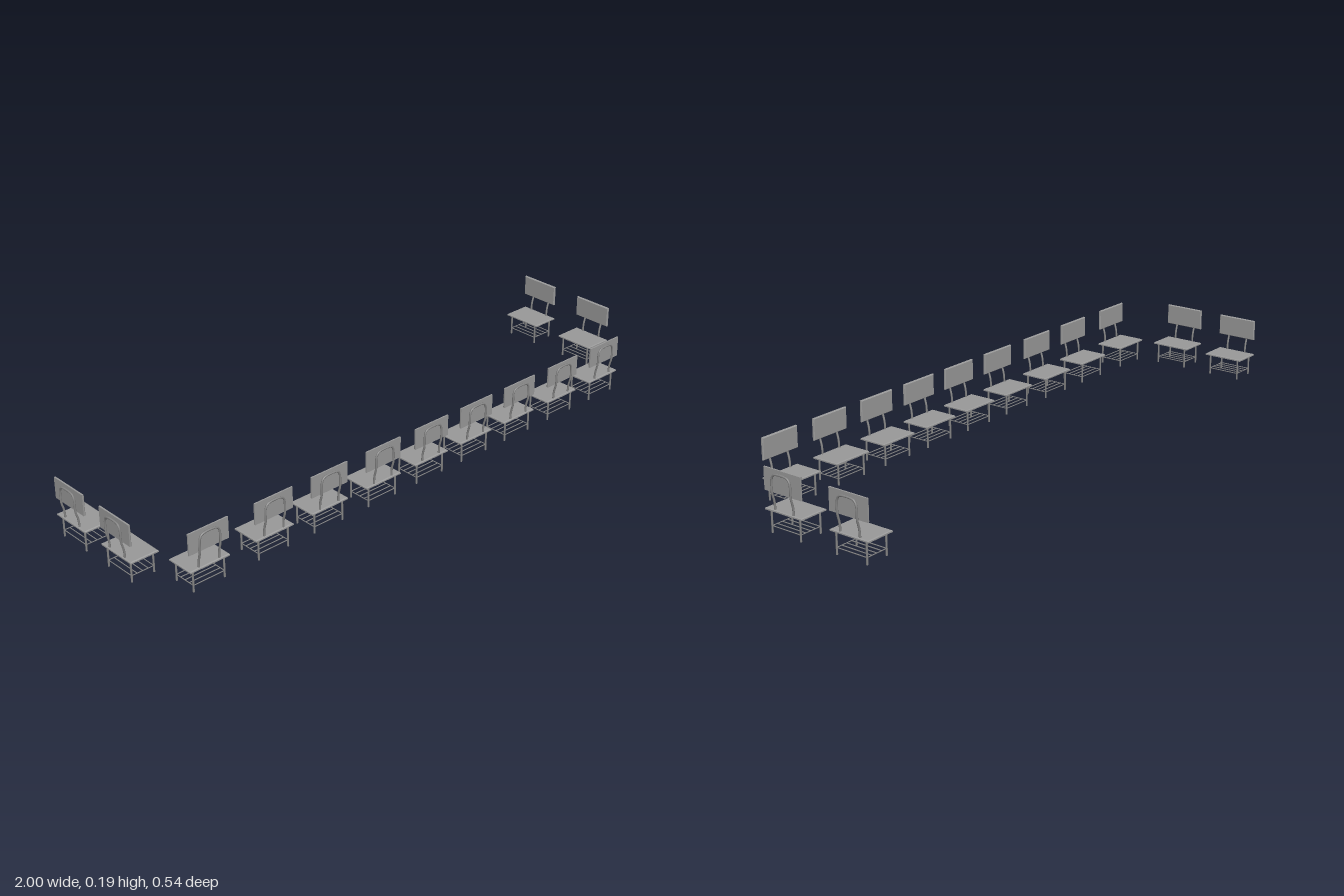
import * as THREE from 'three';

const seatGrey = new THREE.MeshStandardMaterial({ color: 0x999999 });
seatGrey.name = 'seat grey';
const frameGrey = new THREE.MeshStandardMaterial({ color: 0x858585 });
frameGrey.name = 'frame grey';

const WIDTH = 0.135, DEPTH = 0.093;
const LEG_X = 0.053, LEG_Z = 0.037, RACK_Y = 0.02;

// Flat board whose top edge is chamfered all round
function boardGeometry(w, h, d, inset) {
  const lower = h * 0.65;
  const geo = new THREE.BoxGeometry(w, h, d, 1, 2, 1).toNonIndexed();
  const p = geo.attributes.position;
  for (let i = 0; i < p.count; i++) {
    const y = p.getY(i);
    if (Math.abs(y) < 1e-6) p.setY(i, lower - h / 2);
    else if (y > 0) {
      p.setX(i, p.getX(i) - Math.sign(p.getX(i)) * inset);
      p.setZ(i, p.getZ(i) - Math.sign(p.getZ(i)) * inset);
    }
  }
  geo.computeVertexNormals();
  return geo;
}

// Bent tube that forms the backrest support
function archGeometry() {
  const side = [
    [0.0345, 0.068, 0.041], [0.0345, 0.085, 0.0415], [0.0345, 0.1, 0.0435],
    [0.0345, 0.12, 0.049], [0.0345, 0.132, 0.05], [0.0345, 0.153, 0.05],
    [0.0325, 0.165, 0.05], [0.0265, 0.174, 0.05], [0.016, 0.1775, 0.05],
  ];
  const points = side.map(([x, y, z]) => new THREE.Vector3(x, y, z));
  for (const [x, y, z] of side.slice().reverse()) points.push(new THREE.Vector3(-x, y, z));
  return new THREE.TubeGeometry(new THREE.CatmullRomCurve3(points, false, 'centripetal'), 60, 0.0032, 8);
}

const seatGeo = boardGeometry(WIDTH, 0.006, DEPTH, 0.003);
const backGeo = boardGeometry(WIDTH, 0.007, 0.067, 0.002);
const archGeo = archGeometry();
const legGeo = new THREE.CylinderGeometry(0.003, 0.003, 0.068, 8);
const crossRodGeo = new THREE.CylinderGeometry(0.0015, 0.0015, LEG_X * 2, 6).rotateZ(Math.PI / 2);
const sideRodGeo = new THREE.CylinderGeometry(0.0015, 0.0015, LEG_Z * 2, 6).rotateX(Math.PI / 2);

function add(group, name, geo, mat, x, y, z) {
  const mesh = new THREE.Mesh(geo, mat);
  mesh.name = name;
  mesh.position.set(x, y, z);
  group.add(mesh);
  return mesh;
}

// One chair, with its back towards +z
function makeChair() {
  const chair = new THREE.Group();
  chair.name = 'chair';
  add(chair, 'seat', seatGeo, seatGrey, 0, 0.0695, 0);
  add(chair, 'backrest', backGeo, seatGrey, 0, 0.1555, 0.0415).rotation.x = -Math.PI / 2;
  add(chair, 'backSupport', archGeo, frameGrey, 0, 0, 0);
  for (const sx of [-1, 1]) {
    for (const sz of [-1, 1]) add(chair, 'leg', legGeo, frameGrey, sx * LEG_X, 0.034, sz * LEG_Z);
    add(chair, 'sideRail', sideRodGeo, frameGrey, sx * LEG_X, RACK_Y, 0);
  }
  // Rods of the rack under the seat
  for (let i = 0; i < 5; i++) {
    add(chair, 'rackRod', crossRodGeo, frameGrey, 0, RACK_Y, -LEG_Z + (i * LEG_Z) / 2);
  }
  return chair;
}

export function createModel() {
  const model = new THREE.Group();
  model.name = 'chairs';
  const place = (x, z, turn) => {
    const chair = makeChair();
    chair.position.set(x, 0, z);
    chair.rotation.y = turn;
    model.add(chair);
  };
  // Long row
  for (const x of [-0.838, -0.612, -0.408, -0.2, -0.005, 0.185, 0.376, 0.575, 0.775]) place(x, 0.2175, 0);
  // Pairs at both ends, facing inwards
  for (const z of [0.032, -0.204]) place(0.9465, z, Math.PI / 2);
  for (const z of [0.051, -0.161]) place(-0.9465, z, -Math.PI / 2);
  return model;
}
